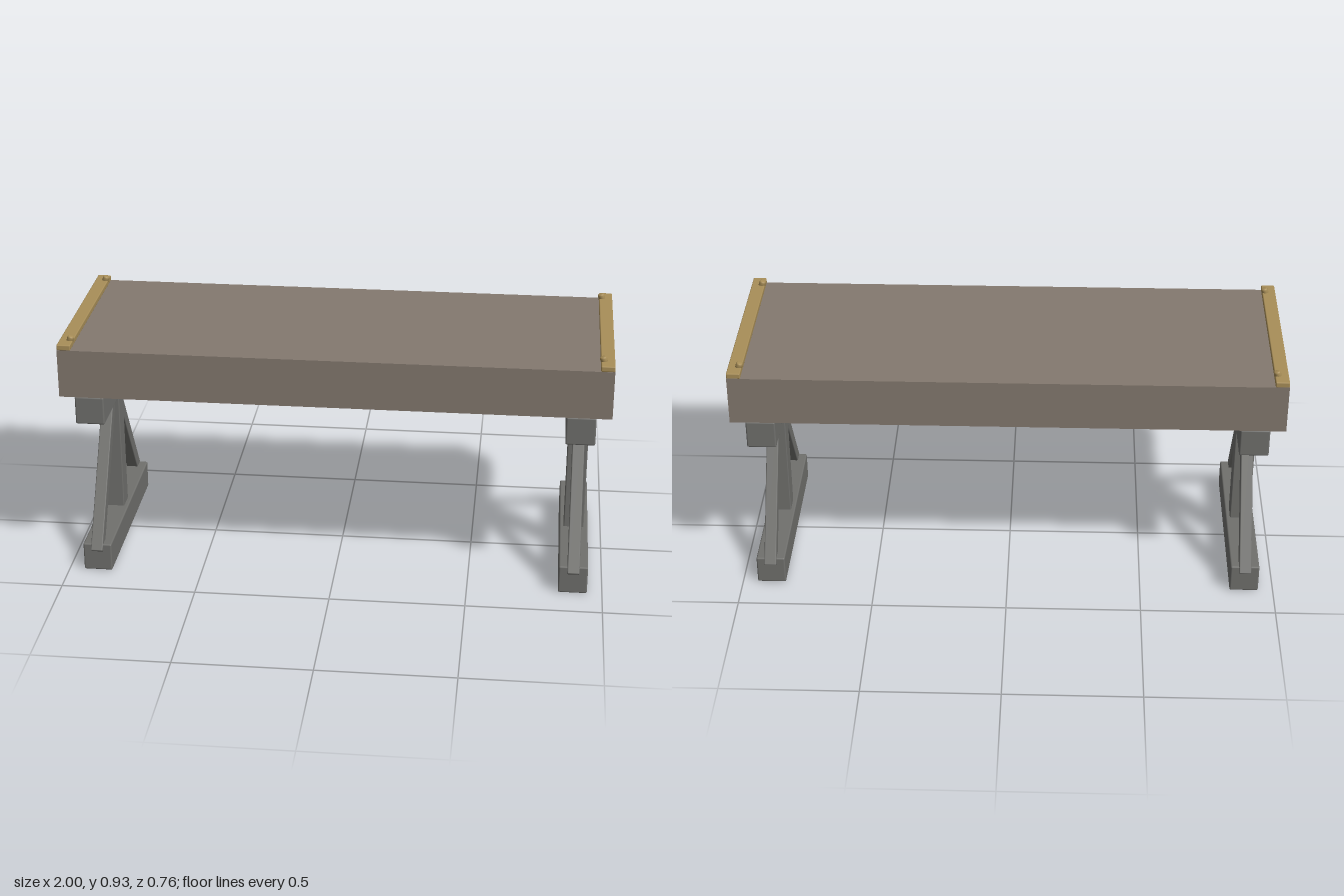
import * as THREE from 'three';
import { RoundedBoxGeometry } from 'three/addons/geometries/RoundedBoxGeometry.js';

const slabMaterial = new THREE.MeshStandardMaterial({ color: 0x84796f });
const frameMaterial = new THREE.MeshStandardMaterial({ color: 0x70706d });
const railMaterial = new THREE.MeshStandardMaterial({ color: 0xa88e58 });

function add(parent, name, geometry, material, x, y, z) {
  const mesh = new THREE.Mesh(geometry, material);
  mesh.name = name;
  mesh.position.set(x, y, z);
  parent.add(mesh);
  return mesh;
}

// Timber with slightly eased edges
const timber = (w, h, d, r = 0.006) => new RoundedBoxGeometry(w, h, d, 2, r);

// Square brace running from the outer end of the foot up into the crossbeam
function addBrace(parent, side) {
  const bottom = new THREE.Vector3(0, 0.076, 0.361 * side);
  const top = new THREE.Vector3(0, 0.628, 0);
  const direction = top.clone().sub(bottom);
  const middle = bottom.clone().add(top).multiplyScalar(0.5);
  const brace = add(parent, 'brace', timber(0.045, direction.length(), 0.045, 0.004),
    frameMaterial, middle.x, middle.y, middle.z);
  brace.rotation.x = Math.atan2(direction.z, direction.y);
}

function createTrestle() {
  const trestle = new THREE.Group();
  trestle.name = 'trestle';
  add(trestle, 'foot', timber(0.107, 0.108, 0.728), frameMaterial, 0, 0.054, 0);
  add(trestle, 'post', timber(0.076, 0.56, 0.076, 0.004), frameMaterial, 0, 0.355, 0);
  add(trestle, 'crossbeam', timber(0.107, 0.107, 0.728), frameMaterial, 0, 0.657, 0);
  for (const side of [-1, 1]) addBrace(trestle, side);
  return trestle;
}

// Edge rail with two pegs leaning towards the middle of the table
function createRail(end) {
  const rail = new THREE.Group();
  rail.name = 'endRail';
  add(rail, 'railStrip', timber(0.05, 0.021, 0.728, 0.004), railMaterial, 0.975 * end, 0.902, 0);
  const pegProfile = [[0, -0.018], [0.0125, -0.018], [0.0125, 0.012], [0.011, 0.016], [0.008, 0.018], [0, 0.018]]
    .map(([r, y]) => new THREE.Vector2(r, y));
  for (const side of [-1, 1]) {
    const peg = add(rail, 'peg', new THREE.LatheGeometry(pegProfile, 20), railMaterial,
      0.961 * end, 0.911, 0.31 * side);
    peg.rotation.z = 0.3 * end;
  }
  return rail;
}

export function createModel() {
  const table = new THREE.Group();
  table.name = 'table';

  // Thick top slab
  add(table, 'tabletop', new THREE.BoxGeometry(2, 0.182, 0.728), slabMaterial, 0, 0.801, 0);

  // Long beam joining the two trestles
  add(table, 'centreBeam', timber(1.74, 0.106, 0.107), frameMaterial, 0, 0.657, 0);

  for (const end of [-1, 1]) {
    const trestle = createTrestle();
    trestle.position.x = 0.891 * end;
    table.add(trestle, createRail(end));
  }
  return table;
}
